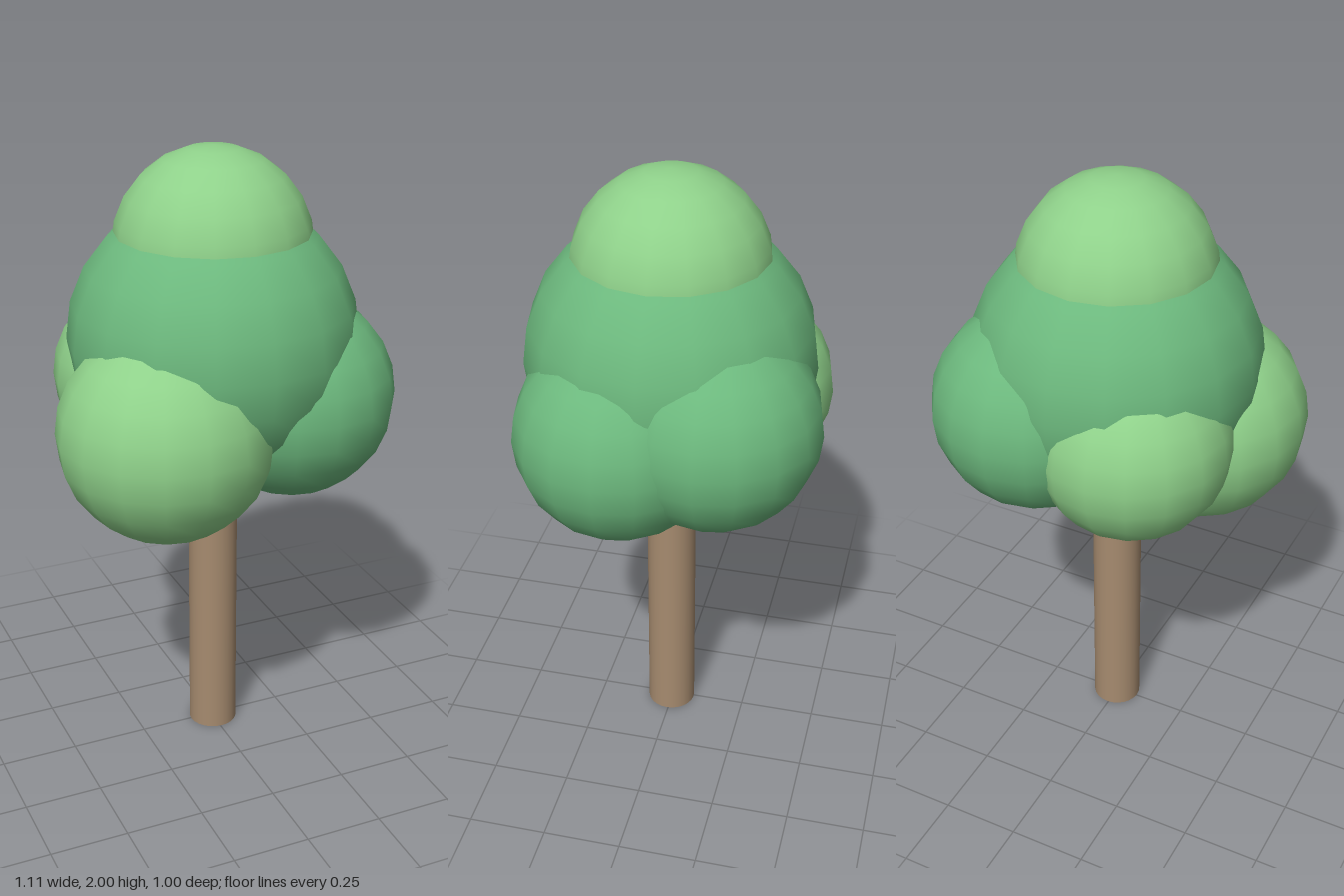
import * as THREE from 'three';

export function createModel() {
  const tree = new THREE.Group();
  tree.name = 'tree';

  const bark = new THREE.MeshStandardMaterial({ color: 0xa68b6f });
  const darkLeaf = new THREE.MeshStandardMaterial({ color: 0x6cb87d });
  const lightLeaf = new THREE.MeshStandardMaterial({ color: 0x8fd18a });

  // Trunk, running up into the crown
  const trunkHeight = 1.2;
  const trunk = new THREE.Mesh(new THREE.CylinderGeometry(0.08, 0.08, trunkHeight, 24), bark);
  trunk.name = 'trunk';
  trunk.position.set(0.005, trunkHeight / 2, 0.005);
  tree.add(trunk);

  // Foliage: overlapping balls of leaves, each with radius and centre
  const foliage = [
    ['crownTop', lightLeaf, 0.31, 0.005, 1.69, 0.005],
    ['crownMain', darkLeaf, 0.457, 0.005, 1.4, 0.005],
    ['foliageFrontRight', lightLeaf, 0.34, -0.217, 1.17, 0.16],
    ['foliageFrontLeft', darkLeaf, 0.33, 0.225, 1.22, 0.115],
    ['foliageBackLeft', darkLeaf, 0.33, 0.19, 1.275, -0.175],
    ['foliageBackRight', lightLeaf, 0.312, -0.138, 1.24, -0.173],
  ];
  for (const [name, material, radius, x, y, z] of foliage) {
    const ball = new THREE.Mesh(new THREE.SphereGeometry(radius, 16, 12), material);
    ball.name = name;
    ball.position.set(x, y, z);
    tree.add(ball);
  }

  return tree;
}
